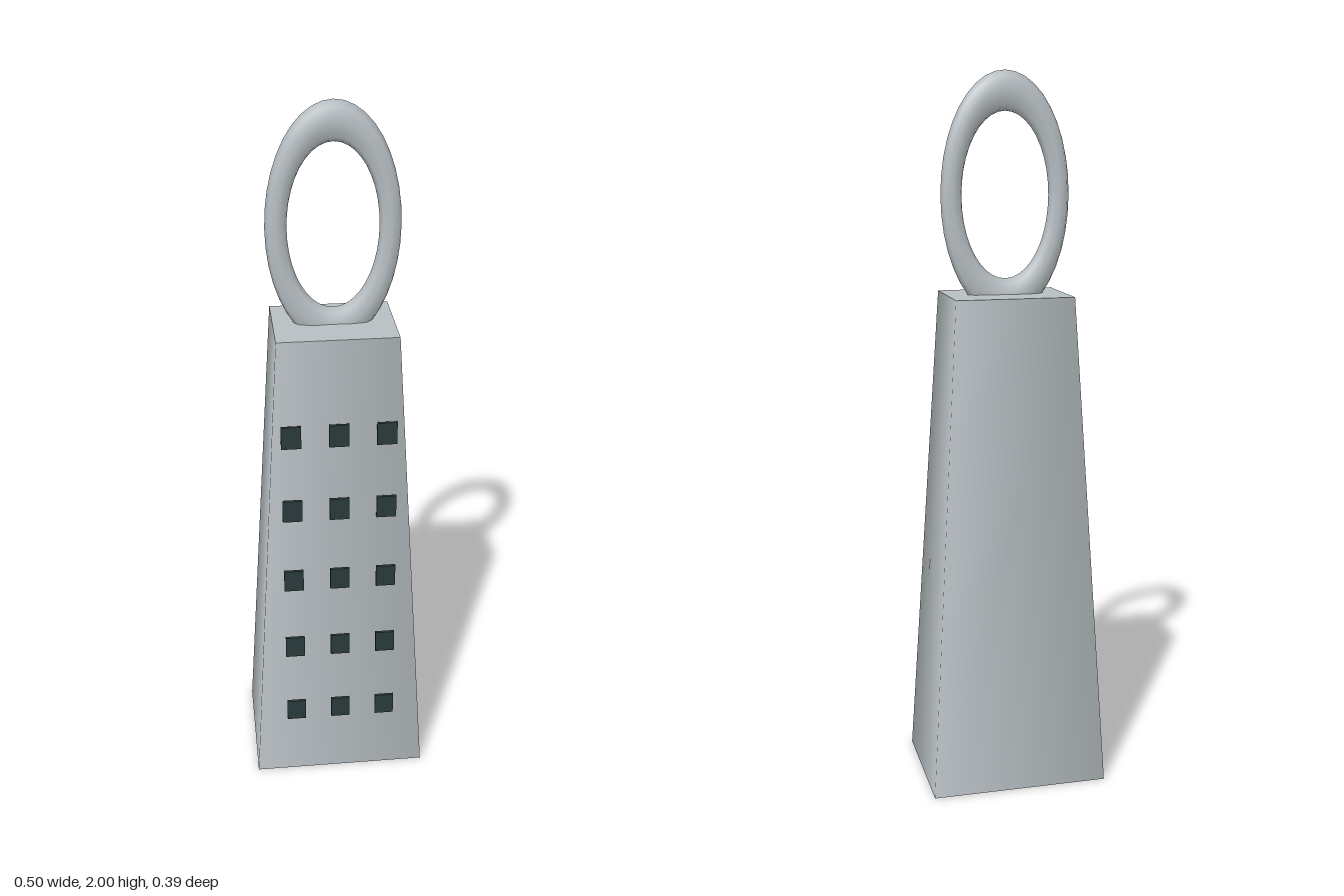
import * as THREE from 'three';

export function createModel() {
  const model = new THREE.Group();
  const steel = new THREE.MeshStandardMaterial({ color: 0xb8bfc3 });
  steel.name = 'steel';
  const dark = new THREE.MeshStandardMaterial({ color: 0x2a3a3b });
  dark.name = 'dark hole';

  const centreZ = -0.008;
  const add = (name, geometry, material, x, y, z) => {
    const mesh = new THREE.Mesh(geometry, material);
    mesh.name = name;
    mesh.position.set(x, y, z);
    model.add(mesh);
    return mesh;
  };

  // Tapered four-sided body with smooth side normals
  const bodyGeo = new THREE.CylinderGeometry(
    0.165 * Math.SQRT2, 0.25 * Math.SQRT2, 1.4, 4, 1, false, Math.PI / 4);
  add('body', bodyGeo, steel, 0, 0.7, centreZ).scale.z = 0.75;

  // Tall oval ring handle, sunk slightly into the top
  const ringGeo = new THREE.TorusGeometry(0.151, 0.029, 8, 40);
  add('handle', ringGeo, steel, 0, 1.668, centreZ).scale.set(1, 1.845, 0.75);

  // Grid of grating holes, stepping back with the slope of the front
  const holeGeo = new THREE.BoxGeometry(0.055, 0.066, 0.008);
  for (let row = 0; row < 5; row++) {
    for (let col = -1; col <= 1; col++) {
      add('hole', holeGeo, dark, col * 0.131, 0.235 + row * 0.224, 0.189 - row * 0.0113);
    }
  }
  return model;
}
